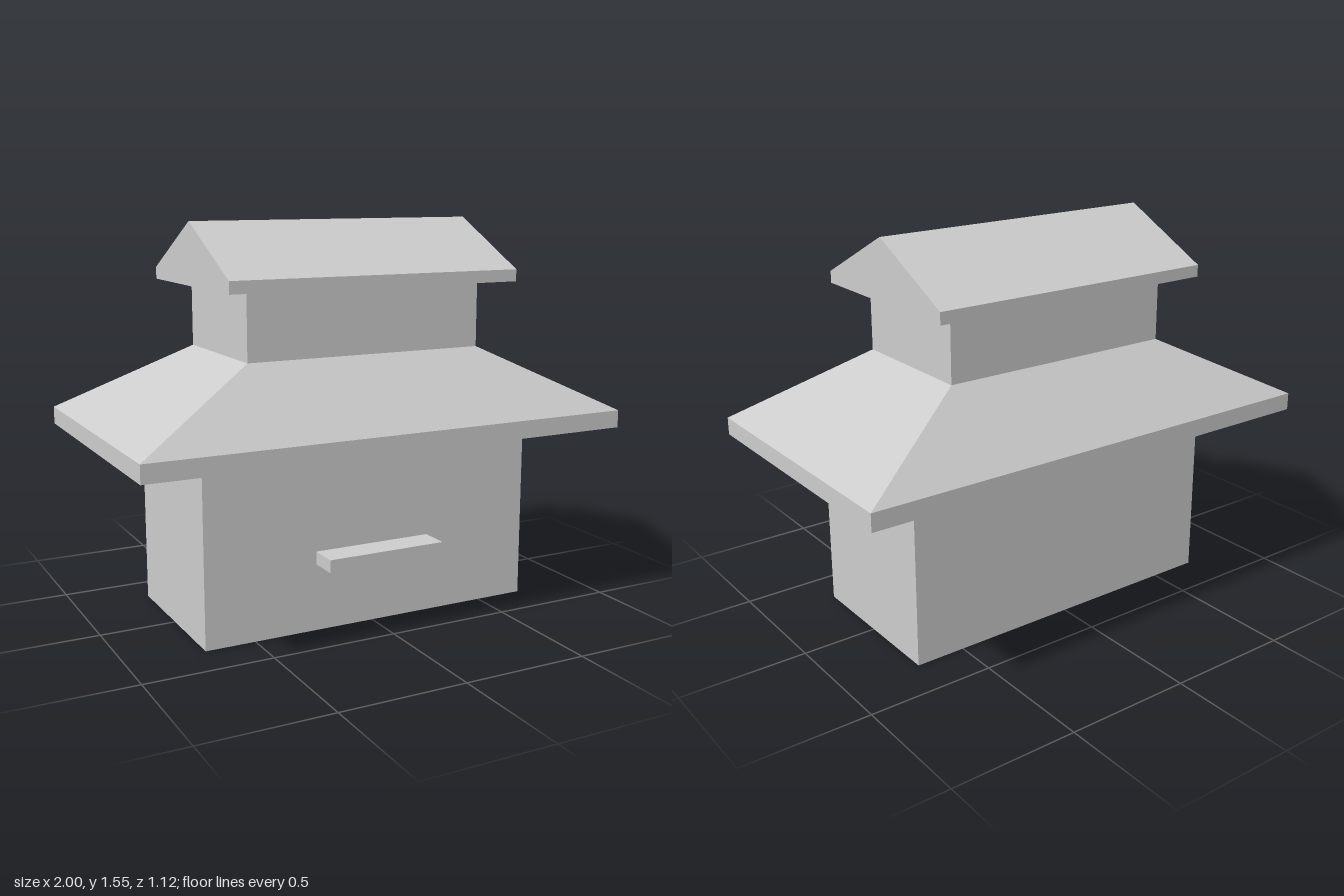
import * as THREE from 'three';

const material = new THREE.MeshStandardMaterial({ color: 0xcccccc, flatShading: true, side: THREE.DoubleSide });

// Joins rectangular rings [halfWidth, y, halfDepth] from bottom to top, with optional caps
function loft(rings, capBottom, capTop) {
  const positions = [];
  const index = [];
  for (const [w, y, d] of rings) positions.push(-w, y, d, w, y, d, w, y, -d, -w, y, -d);
  for (let r = 0; r < rings.length - 1; r++) {
    for (let i = 0; i < 4; i++) {
      const a = r * 4 + i;
      const b = r * 4 + (i + 1) % 4;
      index.push(a, b, b + 4, a, b + 4, a + 4);
    }
  }
  if (capBottom) index.push(0, 2, 1, 0, 3, 2);
  const t = (rings.length - 1) * 4;
  if (capTop) index.push(t, t + 1, t + 2, t, t + 2, t + 3);
  const indexed = new THREE.BufferGeometry();
  indexed.setAttribute('position', new THREE.Float32BufferAttribute(positions, 3));
  indexed.setIndex(index);
  const geometry = indexed.toNonIndexed();
  geometry.computeVertexNormals();
  return geometry;
}

export function createModel() {
  const group = new THREE.Group();
  const add = (name, geometry) => {
    const mesh = new THREE.Mesh(geometry, material);
    mesh.name = name;
    group.add(mesh);
    return mesh;
  };

  // Main walls, open underneath
  add('lowerWalls', loft([[0.7, 0, 0.33], [0.7, 0.72, 0.33]], false, false));

  // Hipped skirt roof with a vertical eave band
  add('lowerRoof', loft([[1, 0.72, 0.56], [1, 0.79, 0.56], [0.495, 1.048, 0.278]], true, false));

  // Narrower upper storey
  add('upperWalls', loft([[0.495, 1.048, 0.278], [0.495, 1.31, 0.278]], false, false));

  // Gabled top roof, its ridge running along x
  const gable = new THREE.Shape([
    [-0.385, 1.31], [0.385, 1.31], [0.385, 1.357], [0, 1.55], [-0.385, 1.357],
  ].map(([z, y]) => new THREE.Vector2(z, y)));
  const roof = new THREE.ExtrudeGeometry(gable, { depth: 1.21, bevelEnabled: false });
  roof.translate(0, 0, -0.605).rotateY(Math.PI / 2);
  add('upperRoof', roof);

  // Small ledge on the front wall
  add('frontLedge', new THREE.BoxGeometry(0.49, 0.05, 0.118)).position.set(0, 0.29, 0.389);

  return group;
}
